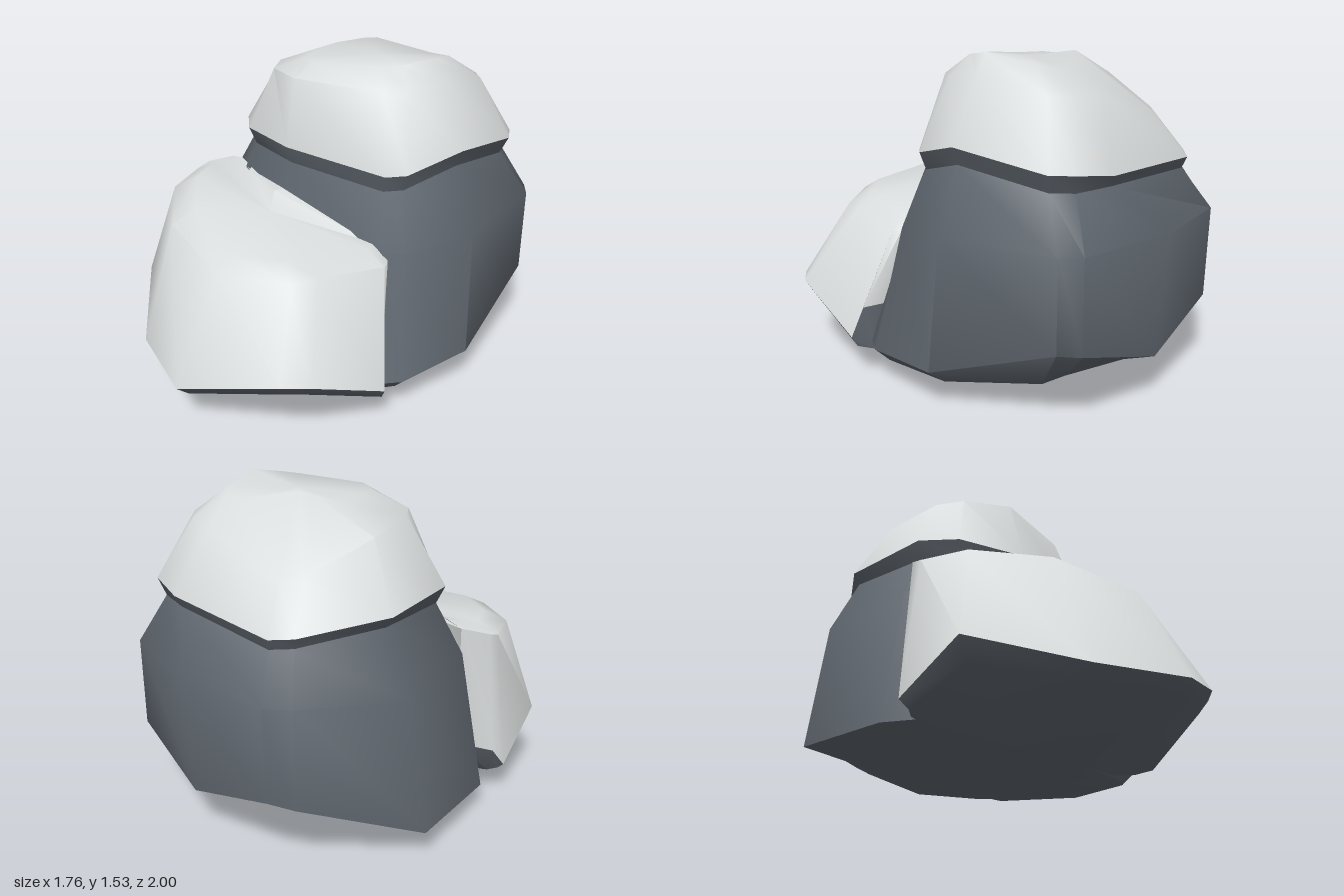
import * as THREE from 'three';
import { toCreasedNormals } from 'three/addons/utils/BufferGeometryUtils.js';

const stone = new THREE.MeshStandardMaterial({ color: 0x5f666e });
stone.name = 'slate stone';
const snow = new THREE.MeshStandardMaterial({ color: 0xdadddd });
snow.name = 'pale snow';

// Skin a stack of rings (bottom to top, clockwise from above), optionally closing the ends
function loft(name, rings, material, closeBottom, closeTop) {
  const n = rings[0].length, pos = rings.flat(2), idx = [];
  for (let i = 0; i < rings.length - 1; i++) {
    for (let j = 0; j < n; j++) {
      const k = (j + 1) % n, a = i * n + j, b = i * n + k, c = b + n, d = a + n;
      idx.push(a, c, b, a, d, c);
    }
  }
  const close = (ring, start, up) => {
    const mid = [0, 1, 2].map(q => ring.reduce((s, p) => s + p[q], 0) / n);
    const m = pos.length / 3;
    pos.push(...mid);
    for (let j = 0; j < n; j++) {
      const a = start + j, b = start + (j + 1) % n;
      idx.push(...(up ? [a, m, b] : [a, b, m]));
    }
  };
  if (closeBottom) close(rings[0], 0, false);
  if (closeTop) close(rings[rings.length - 1], (rings.length - 1) * n, true);
  const g = new THREE.BufferGeometry();
  g.setAttribute('position', new THREE.Float32BufferAttribute(pos, 3));
  g.setIndex(idx);
  const mesh = new THREE.Mesh(toCreasedNormals(g, 0.9), material);
  mesh.name = name;
  return mesh;
}

// Shrink a ring toward a centre, with a rule for its height
const shrink = (ring, cx, cz, sx, sz, height) =>
  ring.map(([x, y, z]) => [cx + (x - cx) * sx, height(y, z), cz + (z - cz) * sz]);

export function createModel() {
  const group = new THREE.Group();
  group.name = 'snowyRocks';

  // Snow cap on the tall boulder: rim, shoulder and crown
  const capRim = [
    [-0.51, 1.09, -0.16], [-0.40, 1.08, -0.60], [-0.08, 1.04, -0.86], [0.03, 1.03, -0.88],
    [0.60, 1.06, -0.60], [0.76, 1.09, -0.47], [0.78, 1.09, -0.36], [0.66, 1.16, 0.06],
    [0.47, 1.09, 0.26], [0.38, 1.08, 0.29], [-0.13, 1.11, 0.20], [-0.42, 1.10, 0.01]];
  const capShoulder = [
    [-0.33, 1.40, -0.18], [-0.28, 1.37, -0.48], [-0.06, 1.24, -0.70], [0.04, 1.23, -0.72],
    [0.45, 1.37, -0.53], [0.58, 1.37, -0.43], [0.63, 1.38, -0.32], [0.56, 1.43, -0.02],
    [0.42, 1.42, 0.13], [0.32, 1.42, 0.18], [-0.12, 1.42, 0.13], [-0.30, 1.40, -0.04]];
  const capCrown = [
    [-0.12, 1.48, -0.18], [-0.10, 1.47, -0.34], [0.03, 1.50, -0.36], [0.10, 1.51, -0.36],
    [0.38, 1.46, -0.37], [0.46, 1.47, -0.32], [0.49, 1.49, -0.25], [0.47, 1.53, -0.04],
    [0.36, 1.51, 0.05], [0.28, 1.50, 0.08], [-0.05, 1.48, 0.06], [-0.14, 1.47, -0.05]];
  const neck = shrink(capRim, 0.13, -0.3, 0.94, 0.96, (y, z) => y - 0.07 + (z < -0.5 ? 0.02 : -0.01));
  group.add(loft('snowCap', [capRim, capShoulder, capCrown], snow, false, true));
  group.add(loft('capUnderside', [neck, capRim], stone, false, false));

  // Tall boulder: flank, belly and tapered foot
  const flank = [
    [-0.60, 0.78, -0.16], [-0.50, 0.74, -0.64], [-0.11, 0.79, -0.97], [0.01, 0.79, -1.00],
    [0.46, 0.79, -0.83], [0.85, 0.79, -0.52], [0.88, 0.79, -0.42], [0.74, 0.79, 0.10],
    [0.50, 0.75, 0.34], [0.40, 0.75, 0.35], [-0.17, 0.75, 0.26], [-0.50, 0.75, 0.03]];
  const belly = [
    [-0.72, 0.13, -0.17], [-0.58, 0.14, -0.66], [-0.11, 0.33, -0.96], [0.01, 0.36, -0.99],
    [0.45, 0.22, -0.79], [0.85, 0.37, -0.52], [0.88, 0.38, -0.42], [0.76, 0.19, 0.15],
    [0.55, 0.17, 0.47], [0.46, 0.17, 0.52], [-0.20, 0.17, 0.42], [-0.63, 0.14, 0.10]];
  const foot = [
    [-0.55, 0.08, -0.13], [-0.45, 0.09, -0.52], [-0.10, 0.18, -0.72], [0.02, 0.18, -0.73],
    [0.36, 0.15, -0.65], [0.62, 0.17, -0.42], [0.68, 0.15, -0.33], [0.69, 0.12, 0.10],
    [0.50, 0.10, 0.42], [0.40, 0.08, 0.46], [-0.20, 0.07, 0.38], [-0.48, 0.08, 0.10]];
  const sole = shrink(foot, 0, 0.12, 0.18, 0.36, () => 0);
  group.add(loft('tallBoulder', [sole, foot, belly, flank, neck], stone, true, false));

  // Snow over the low front boulder: rim, shoulder and crown
  const frontRim = [
    [-0.88, 0.36, 0.28], [-0.80, 0.18, -0.03], [-0.75, 0.26, -0.06], [-0.58, 0.28, -0.08],
    [0.00, 0.30, 0.20], [0.45, 0.36, 0.46], [0.475, 0.34, 0.55], [0.51, 0.20, 0.60],
    [0.30, 0.38, 0.92], [0.18, 0.38, 0.97], [-0.30, 0.26, 1.00], [-0.64, 0.25, 0.72]];
  const frontShoulder = [
    [-0.73, 0.82, 0.23], [-0.73, 0.83, 0.00], [-0.70, 0.85, -0.06], [-0.58, 0.88, -0.11],
    [-0.10, 0.90, 0.15], [0.42, 0.72, 0.34], [0.43, 0.71, 0.37], [0.43, 0.71, 0.41],
    [0.22, 0.74, 0.66], [0.13, 0.74, 0.74], [-0.20, 0.74, 0.78], [-0.56, 0.79, 0.54]];
  const frontCrown = [
    [-0.62, 0.88, 0.19], [-0.63, 0.88, 0.02], [-0.60, 0.88, -0.02], [-0.50, 0.90, -0.06],
    [-0.17, 0.91, 0.26], [0.34, 0.77, 0.32], [0.35, 0.77, 0.35], [0.34, 0.77, 0.39],
    [0.14, 0.78, 0.59], [0.07, 0.79, 0.65], [-0.18, 0.79, 0.70], [-0.48, 0.85, 0.45]];
  group.add(loft('frontSnow', [frontRim, frontShoulder, frontCrown], snow, false, true));

  // Bare stone under the front snow
  const frontLip = [
    [-0.82, 0.26, 0.28], [-0.77, 0.14, 0.00], [-0.72, 0.13, -0.02], [-0.50, 0.12, 0.00],
    [0.00, 0.05, 0.20], [0.42, 0.12, 0.42], [0.46, 0.13, 0.50], [0.49, 0.15, 0.58],
    [0.26, 0.31, 0.88], [0.16, 0.31, 0.92], [-0.28, 0.20, 0.94], [-0.60, 0.20, 0.68]];
  const frontSole = shrink(frontLip, -0.08, 0.22, 0.15, 0.15, () => 0.005);
  group.add(loft('frontBoulder', [frontSole, frontLip, frontRim], stone, true, false));

  return group;
}
